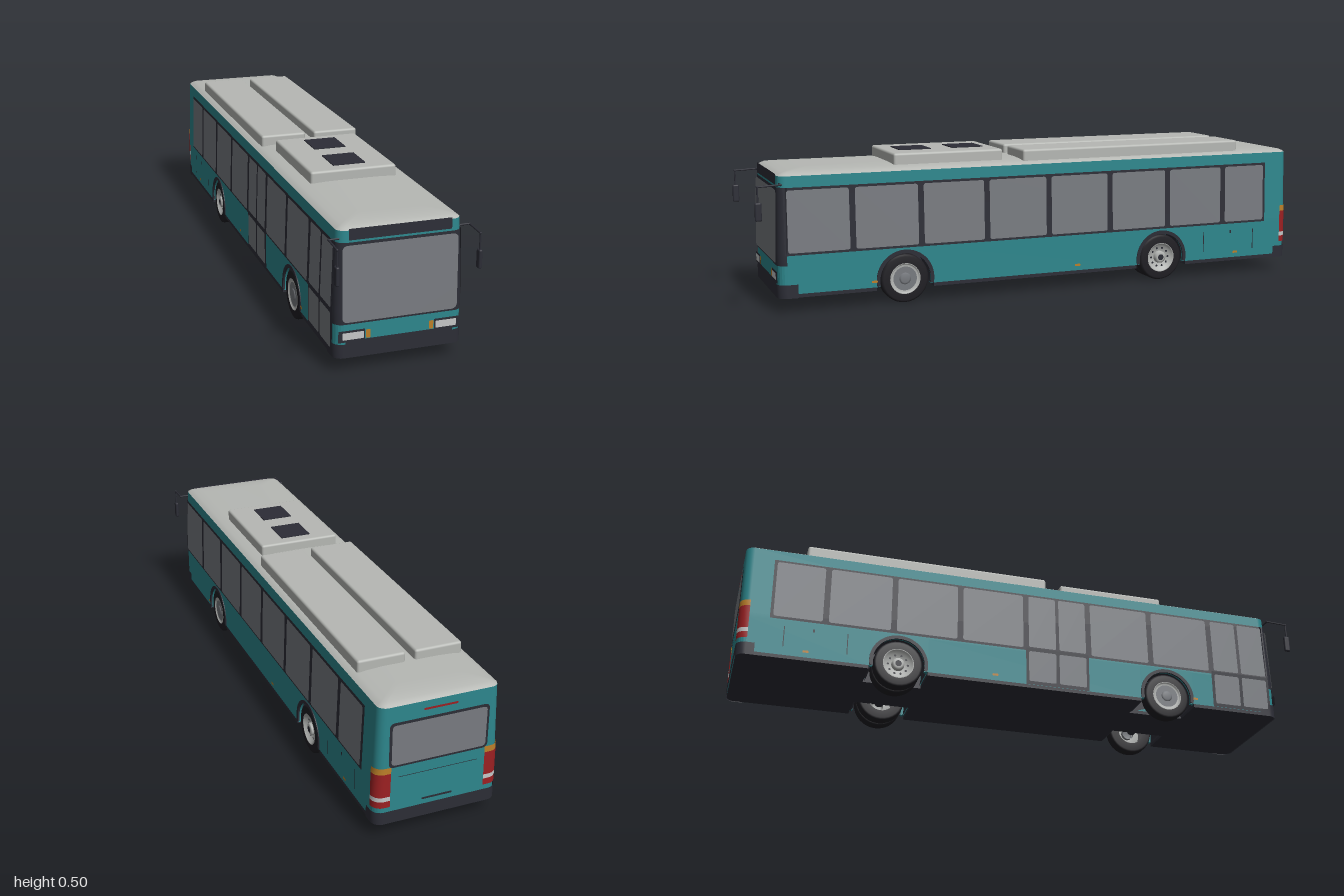
import * as THREE from 'three';
import { RoundedBoxGeometry } from 'three/addons/geometries/RoundedBoxGeometry.js';

const paint = (name, color) => {
  const m = new THREE.MeshStandardMaterial({ color, side: THREE.DoubleSide });
  m.name = name;
  return m;
};

export function createModel() {
  const teal = paint('teal paint', 0x2d878d), roofGrey = paint('roof grey', 0xb6b8b4);
  const dark = paint('dark trim', 0x2c2d36), glass = paint('window glass', 0x787b80);
  const rubber = paint('tyre rubber', 0x1f1e23), silver = paint('wheel silver', 0xb4b6b4);
  const amber = paint('amber lamp', 0xbd8029), red = paint('red lamp', 0x9c2022);
  const lamp = paint('clear lamp', 0xc6c8c8);

  const bus = new THREE.Group();
  bus.name = 'bus';
  bus.position.x = 0.006;
  const add = (name, geo, mat, x = 0, y = 0, z = 0) => {
    const m = new THREE.Mesh(geo, mat);
    m.name = name;
    m.position.set(x, y, z);
    bus.add(m);
    return m;
  };

  // Body surface: half width and front position by height, constant back
  const lean = y => Math.max(0, y - 0.2) / 0.24;
  const halfW = y => 0.204 - 0.008 * lean(y);
  const frontZ = y => 0.927 - 0.008 * lean(y);
  const backZ = -0.996, N = 6;

  // Rounded plan outline, six points per corner: front +x, front -x, back -x, back +x
  function ring(y, off = 0) {
    const w = halfW(y) + off, f = frontZ(y) + off, b = backZ - off, r = Math.max(0.012, 0.028 + off);
    const corners = [[w - r, f - r, 0], [r - w, f - r, 1], [r - w, b + r, 2], [w - r, b + r, 3]];
    return corners.flatMap(([cx, cz, q]) => Array.from({ length: N }, (_, i) => {
      const a = (q + i / (N - 1)) * Math.PI / 2;
      return [cx + r * Math.cos(a), cz + r * Math.sin(a)];
    }));
  }

  // Skin through stacked outlines, given as [y, points]
  function loft(levels, closed, cap) {
    const pos = [], idx = [], n = levels[0][1].length;
    levels.forEach(([y, pts]) => pts.forEach(([x, z]) => pos.push(x, y, z)));
    for (let l = 0; l < levels.length - 1; l++)
      for (let i = 0; i < (closed ? n : n - 1); i++) {
        const a = l * n + i, b = l * n + (i + 1) % n;
        idx.push(a, b + n, b, a, a + n, b + n);
      }
    if (cap) {
      const o = (levels.length - 1) * n;
      pos.push(0, levels[levels.length - 1][0] + 0.001, 0);
      for (let i = 0; i < n; i++) idx.push(o + (i + 1) % n, o + i, o + n);
    }
    const g = new THREE.BufferGeometry();
    g.setAttribute('position', new THREE.Float32BufferAttribute(pos, 3));
    g.setIndex(idx);
    g.computeVertexNormals();
    return g;
  }

  add('upperBody', loft([0.185, 0.2, 0.448].map(y => [y, ring(y)]), true), teal);
  const roofLevels = [[0.448, 0], [0.453, 0.008], [0.458, 0.02], [0.462, 0.05], [0.465, 0.1]];
  add('roof', loft(roofLevels.map(([y, inset]) => [y, ring(y, -inset)]), true, true), roofGrey);

  // Lower body with rectangular notches for the wheels
  const axles = [0.503, -0.465], wheelY = 0.083;
  const outline = ring(0.1);
  const notch = (s, z) => [[0.204, 0.1], [0.09, 0.1], [0.09, -0.1], [0.204, -0.1]].map(([x, d]) => [s * x, z + d]);
  const left = axles.flatMap(z => notch(-1, z));
  const right = axles.flatMap(z => notch(1, z)).reverse();
  const plan = new THREE.Shape([...outline.slice(0, 2 * N), ...left, ...outline.slice(2 * N), ...right]
    .map(([x, z]) => new THREE.Vector2(x, -z)));
  const slab = (name, y0, y1, mat) =>
    add(name, new THREE.ExtrudeGeometry(plan, { depth: y1 - y0, bevelEnabled: false }).rotateX(-Math.PI / 2), mat, 0, y0);
  slab('chassisSkirt', 0.05, 0.062, dark);
  slab('lowerBody', 0.062, 0.185, teal);

  // Bands wrapped around the front or back end
  const band = (name, ys, off, mat, pick) => add(name, loft(ys.map(y => [y, pick(ring(y, off), y)]), false), mat);
  const aroundFront = edge => p => [[p[0][0], edge], ...p.slice(0, 2 * N), [p[2 * N - 1][0], edge]];
  const aroundBack = edge => p => [[p[2 * N][0], edge], ...p.slice(2 * N), [p[4 * N - 1][0], edge]];
  band('frontBumper', [0.049, 0.094], 0.003, dark, aroundFront(0.865));
  band('rearBumper', [0.049, 0.092], 0.003, dark, aroundBack(-0.94));
  band('windscreenFrame', [0.157, 0.2, 0.412], 0.002, dark, aroundFront(0.9));

  // Thin rounded plates laid onto the body surface
  const surfaces = {
    front: off => (u, v) => [u, v, frontZ(v) + off],
    back: off => (u, v) => [u, v, backZ - off],
    left: off => (u, v) => [halfW(v) + off, v, u],
    right: off => (u, v) => [-halfW(v) - off, v, u],
  };
  function plate(name, face, mat, u0, u1, v0, v1, off = 0.002, r = 0.002) {
    const s = new THREE.Shape();
    s.absarc(u1 - r, v1 - r, r, 0, Math.PI / 2);
    s.absarc(u0 + r, v1 - r, r, Math.PI / 2, Math.PI);
    s.absarc(u0 + r, v0 + r, r, Math.PI, Math.PI * 1.5);
    s.absarc(u1 - r, v0 + r, r, Math.PI * 1.5, Math.PI * 2);
    const g = new THREE.ShapeGeometry(s, 4), p = g.attributes.position, map = surfaces[face](off);
    for (let i = 0; i < p.count; i++) p.setXYZ(i, ...map(p.getX(i), p.getY(i)));
    g.computeVertexNormals();
    return add(name, g, mat);
  }

  // Front end
  plate('windscreen', 'front', glass, -0.183, 0.183, 0.164, 0.404, 0.005, 0.016);
  plate('destinationSign', 'front', dark, -0.162, 0.162, 0.419, 0.454, 0.003);
  plate('bumperTop', 'front', dark, -0.172, 0.172, 0.08, 0.105, 0.003);
  for (const s of [-1, 1]) {
    const mirrored = (name, mat, a, b, ...rest) => plate(name, 'front', mat, Math.min(s * a, s * b), Math.max(s * a, s * b), ...rest);
    mirrored('headlightFrame', dark, 0.111, 0.195, 0.101, 0.138, 0.004);
    mirrored('headlight', lamp, 0.115, 0.182, 0.109, 0.132, 0.006);
    mirrored('frontIndicator', amber, 0.094, 0.108, 0.108, 0.135, 0.005);
  }

  // Back end
  plate('rearWindowFrame', 'back', dark, -0.163, 0.163, 0.243, 0.395, 0.002, 0.015);
  plate('rearWindow', 'back', glass, -0.155, 0.155, 0.251, 0.387, 0.004, 0.012);
  plate('highBrakeLight', 'back', red, -0.055, 0.055, 0.419, 0.426, 0.003);
  plate('engineHatchSeam', 'back', dark, -0.13, 0.13, 0.206, 0.208, 0.002, 0.0005);
  plate('plateRecess', 'back', dark, -0.05, 0.05, 0.107, 0.114, 0.002);
  const rearCorner = s => p => s > 0
    ? [[p[4 * N - 1][0], -0.966], ...p.slice(3 * N).reverse(), [p[3 * N][0] - 0.02, p[3 * N][1]]]
    : [[p[2 * N][0], -0.966], ...p.slice(2 * N, 3 * N), [p[3 * N - 1][0] + 0.02, p[3 * N - 1][1]]];
  const tailLamps = [[0.225, 0.246, amber], [0.145, 0.225, red], [0.13, 0.145, lamp], [0.108, 0.13, red]];
  for (const s of [-1, 1])
    for (const [y0, y1, mat] of tailLamps) band('tailLight', [y0, y1], 0.003, mat, rearCorner(s));

  // Side windows, with doors replacing two bays on the right side
  const posts = [0.905, 0.68, 0.445, 0.21, -0.02, -0.256, -0.487, -0.717, -0.9];
  for (const side of ['left', 'right']) {
    plate('windowBand', side, dark, -0.9, 0.905, 0.19, 0.411);
    for (let i = 0; i < posts.length - 1; i++) {
      const z0 = posts[i + 1] + 0.01, z1 = posts[i] - 0.01;
      if (side === 'right' && (i === 0 || i === 3)) {
        const mid = (z0 + z1) / 2;
        plate('doorFrame', side, dark, z0 - 0.01, z1 + 0.01, 0.062, 0.2);
        for (const [a, b] of [[z0, mid - 0.006], [mid + 0.006, z1]]) {
          plate('doorUpperGlass', side, glass, a, b, 0.203, 0.403, 0.004, 0.006);
          plate('doorLowerGlass', side, glass, a, b, 0.074, 0.187, 0.004, 0.006);
        }
      } else plate('sideWindow', side, glass, z0, z1, 0.198, 0.403, 0.004, 0.008);
    }
    for (const z of [0.61, -0.13, -0.775]) plate('sideMarker', side, amber, z - 0.01, z + 0.01, 0.078, 0.086, 0.003);
    for (const z of [-0.64, -0.85]) plate('hatchSeam', side, dark, z - 0.0015, z + 0.0015, 0.09, 0.165, 0.002, 0.0005);
    plate('hatchLatch', side, dark, -0.757, -0.75, 0.154, 0.166, 0.003);
  }

  // Wheel arches, wells and wheels
  const lathe = pts => new THREE.LatheGeometry(pts.map(([r, h]) => new THREE.Vector2(r, h)), 32);
  const tyreProfile = [[0.048, -0.023], [0.075, -0.023], [0.081, -0.02], [0.083, -0.014],
    [0.083, 0.014], [0.081, 0.02], [0.075, 0.023], [0.05, 0.023]];
  const frontRim = [[0.053, 0.0235], [0.049, 0.024], [0.046, 0.017], [0.02, 0.019]];
  const rearRim = [[0.053, 0.0235], [0.049, 0.024], [0.042, 0.012], [0.022, 0.008]];
  const hubProfile = [[0.022, 0.004], [0.021, 0.02], [0.014, 0.023], [0, 0.023]];
  const dip = Math.asin((0.062 - wheelY) / 0.09);
  const panel = new THREE.Shape([[-0.1, 0.062 - wheelY], [-0.1, 0.104], [0.1, 0.104], [0.1, 0.062 - wheelY]]
    .map(p => new THREE.Vector2(...p)));
  panel.absarc(0, 0, 0.09, dip, Math.PI - dip);
  const lip = new THREE.Shape();
  lip.absarc(0, 0, 0.1, -0.2, Math.PI + 0.2);
  lip.absarc(0, 0, 0.088, Math.PI + 0.2, -0.2, true);
  const sidePart = (shape, depth) =>
    new THREE.ExtrudeGeometry(shape, { depth, bevelEnabled: false, curveSegments: 28 }).rotateY(-Math.PI / 2);

  axles.forEach((z, axle) => {
    for (const s of [-1, 1]) {
      const turn = -s * Math.PI / 2;
      add('archPanel', sidePart(panel, 0.012), teal, s > 0 ? 0.204 : -0.192, wheelY, z);
      add('archLip', sidePart(lip, 0.006), dark, s > 0 ? 0.207 : -0.201, wheelY, z);
      add('wheelWell', new THREE.CylinderGeometry(0.098, 0.098, 0.1, 28, 1, true, -0.3, Math.PI + 0.6)
        .rotateZ(Math.PI / 2), dark, s * 0.145, wheelY, z);
      add('wellWall', new THREE.CircleGeometry(0.098, 28, -0.3, Math.PI + 0.6).rotateY(s * Math.PI / 2), dark, s * 0.094, wheelY, z);
      for (const x of axle ? [0.178, 0.127] : [0.178])
        add('tyre', lathe(tyreProfile).rotateZ(turn), rubber, s * x, wheelY, z);
      add('rim', lathe(axle ? rearRim : frontRim).rotateZ(turn), silver, s * 0.178, wheelY, z);
      add('hub', lathe(hubProfile).rotateZ(turn), axle ? silver : glass, s * 0.178, wheelY, z);
      if (axle) add('hubCap', new THREE.CircleGeometry(0.011, 20).rotateY(s * Math.PI / 2), dark, s * 0.202, wheelY, z);
      else add('rimFace', new THREE.RingGeometry(0.02, 0.041, 32).rotateY(s * Math.PI / 2), glass, s * 0.1985, wheelY, z);
      if (axle) for (let i = 0; i < 10; i++) {
        const a = i * Math.PI / 5;
        add('rimHole', new THREE.CircleGeometry(0.004, 10).rotateY(s * Math.PI / 2), dark,
          s * 0.1905, wheelY + 0.034 * Math.sin(a), z + 0.034 * Math.cos(a));
      }
    }
    add('axle', new THREE.CylinderGeometry(0.018, 0.018, 0.3, 16).rotateZ(Math.PI / 2), dark, 0, wheelY, z);
  });

  // Roof equipment
  const roofBox = (name, x0, x1, z0, z1, top) => add(name, new RoundedBoxGeometry(x1 - x0, top - 0.45, z1 - z0, 3, 0.008),
    roofGrey, (x0 + x1) / 2, (top + 0.45) / 2, (z0 + z1) / 2);
  roofBox('roofPod', -0.175, -0.016, -0.79, 0.065, 0.497);
  roofBox('roofPod', 0.016, 0.175, -0.79, 0.065, 0.497);
  roofBox('airConditioner', -0.145, 0.145, 0.13, 0.52, 0.5);
  for (const z of [0.228, 0.418]) add('ventGrille', new THREE.BoxGeometry(0.11, 0.004, 0.113), dark, 0, 0.501, z);

  // Mirrors on bent arms
  const rod = (a, b) => add('mirrorArm', new THREE.TubeGeometry(
    new THREE.LineCurve3(new THREE.Vector3(...a), new THREE.Vector3(...b)), 1, 0.003, 8), dark);
  for (const s of [-1, 1]) {
    const path = [[0.19, 0.425, 0.915], [0.222, 0.425, 0.915], [0.222, 0.422, 0.99], [0.222, 0.36, 0.99]]
      .map(([x, y, z]) => [s * x, y, z]);
    for (let i = 0; i < 3; i++) rod(path[i], path[i + 1]);
    for (const p of path.slice(1, 3)) add('mirrorJoint', new THREE.SphereGeometry(0.004, 10, 8), dark, ...p);
    add('mirrorHead', new RoundedBoxGeometry(0.012, 0.06, 0.022, 3, 0.005), dark, s * 0.222, 0.342, 0.989);
  }

  const model = new THREE.Group();
  model.name = 'cityBus';
  model.add(bus);
  return model;
}
